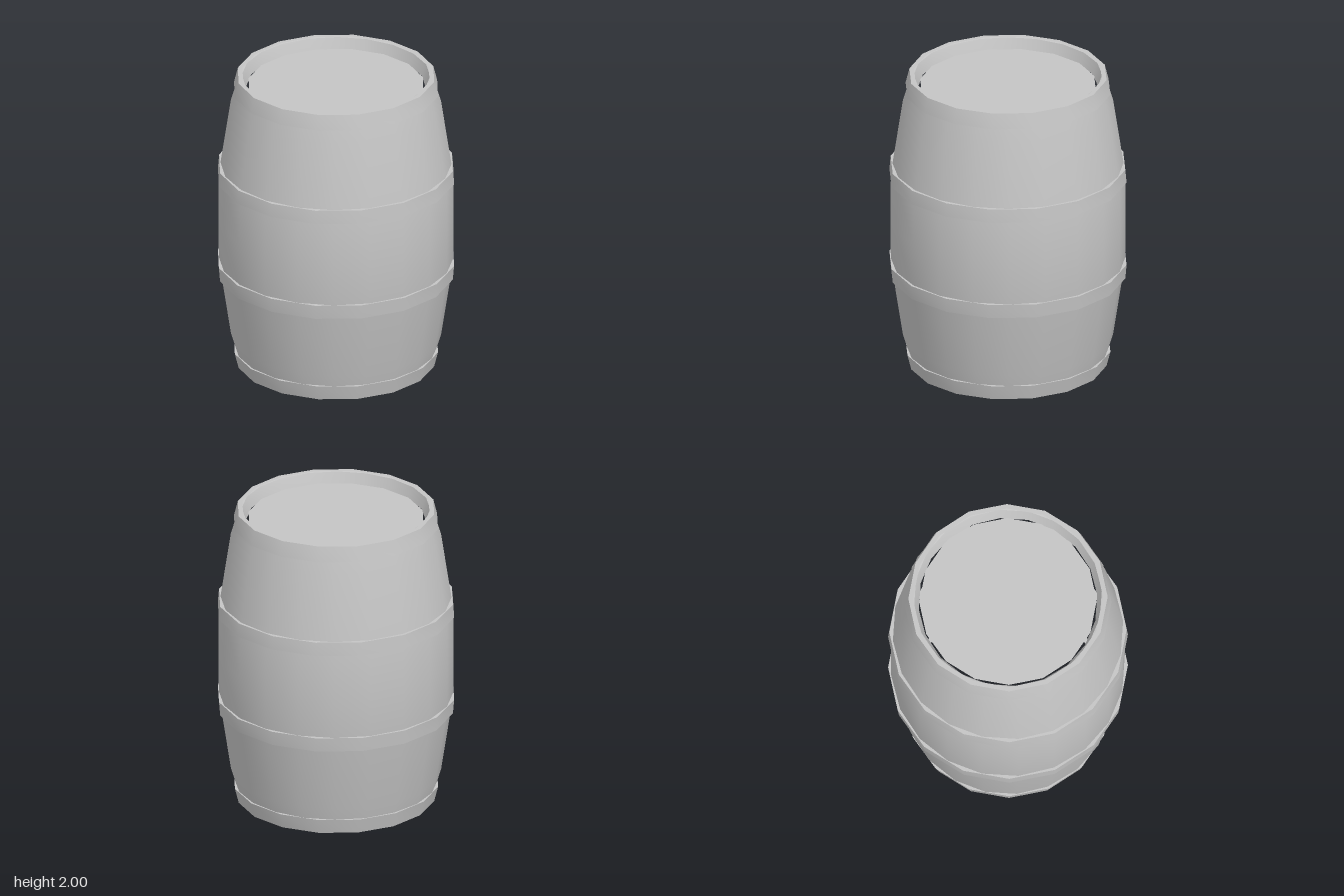
import * as THREE from 'three';
import { toCreasedNormals } from 'three/addons/utils/BufferGeometryUtils.js';

export function createModel() {
  const barrel = new THREE.Group();
  barrel.name = 'barrel';
  const grey = new THREE.MeshStandardMaterial({ name: 'plain grey', color: 0xc4c4c4 });

  const add = (name, geometry) => {
    const mesh = new THREE.Mesh(geometry, grey);
    mesh.name = name;
    barrel.add(mesh);
    return mesh;
  };
  const turned = (points, sides) => toCreasedNormals(
    new THREE.LatheGeometry(points.map(([r, y]) => new THREE.Vector2(r, y)), sides), 0.6);

  // Bulging staves with the rims turned in at both ends
  const half = [[0.755, 1], [0.752, 1.33], [0.74, 1.39], [0.675, 1.82], [0.645, 1.92],
    [0.628, 2], [0.605, 1.995], [0.594, 1.97], [0.575, 1.92]];
  const lower = half.slice(1).reverse().map(([r, y]) => [r, 2 - y]);
  add('staves', turned([...lower, ...half], 20));

  // Flat hoops: bottom radius, top radius, bottom height, top height
  const hoop = (name, r0, r1, y0, y1) =>
    add(name, turned([[r0 - 0.03, y0], [r0, y0], [r1, y1], [r1 - 0.03, y1]], 16));
  hoop('topHoop', 0.665, 0.64, 1.9, 2);
  hoop('upperHoop', 0.77, 0.762, 1.29, 1.38);
  hoop('lowerHoop', 0.762, 0.77, 0.62, 0.715);
  hoop('bottomHoop', 0.64, 0.665, 0, 0.1);

  // Recessed heads
  for (const [name, y, tilt] of [['topHead', 1.93, -1], ['bottomHead', 0.07, 1]]) {
    const head = add(name, new THREE.CircleGeometry(0.57, 16));
    head.rotation.x = tilt * Math.PI / 2;
    head.position.y = y;
  }
  return barrel;
}
